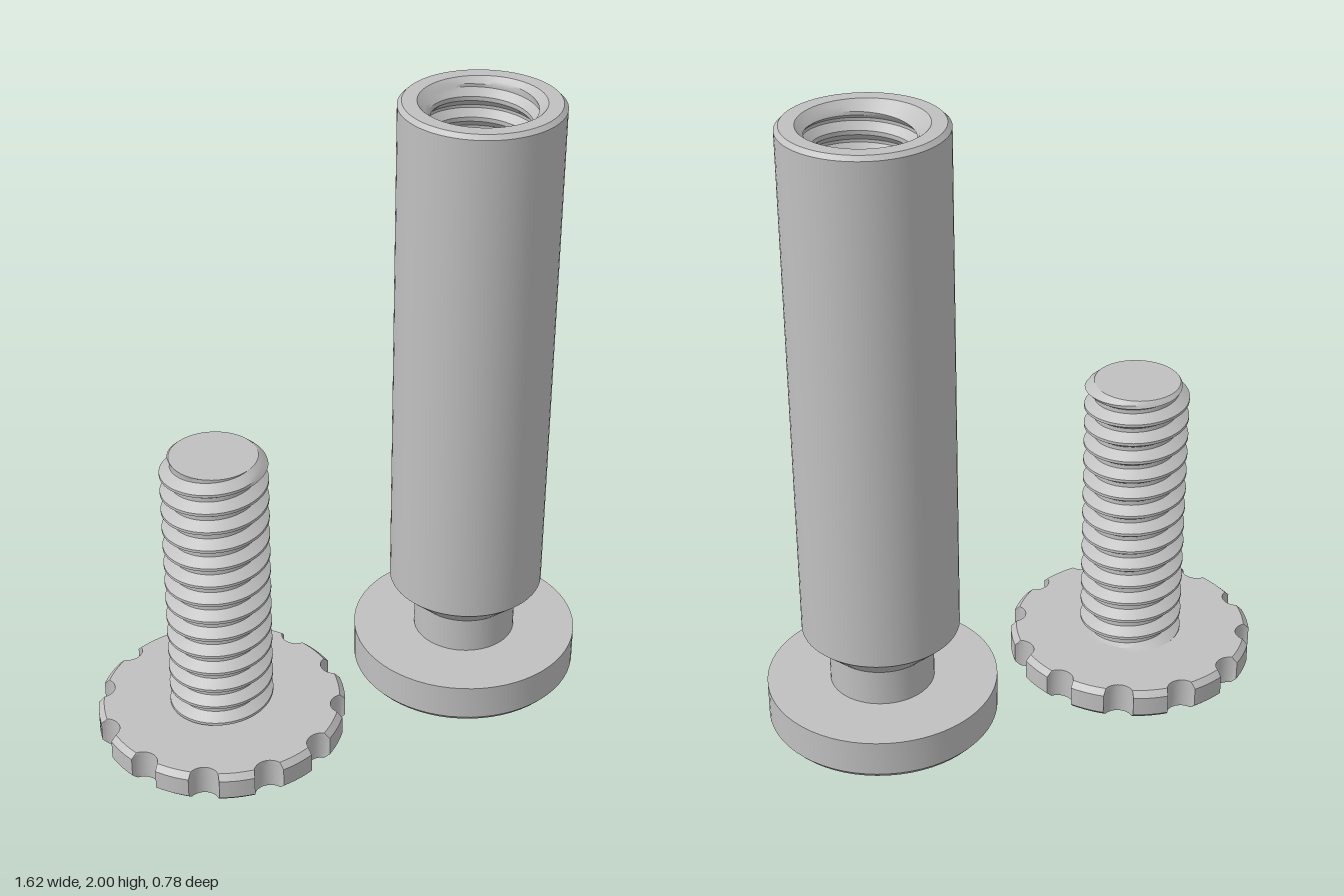
import * as THREE from 'three';
import { toCreasedNormals } from 'three/addons/utils/BufferGeometryUtils.js';

const TAU = Math.PI * 2;
const steel = new THREE.MeshStandardMaterial({ color: 0xc0c0c0 });
steel.name = 'steel grey';

function addMesh(group, name, geometry) {
  const mesh = new THREE.Mesh(geometry, steel);
  mesh.name = name;
  group.add(mesh);
}

// Skin rings of [x, y, z] points; counter-clockwise rings from bottom to top face outward
function skin(rings) {
  const n = rings[0].length, index = [];
  for (let r = 0; r < rings.length - 1; r++) {
    for (let i = 0; i < n - 1; i++) {
      const a = r * n + i, b = a + n;
      index.push(a, a + 1, b + 1, a, b + 1, b);
    }
  }
  const g = new THREE.BufferGeometry();
  g.setAttribute('position', new THREE.Float32BufferAttribute(rings.flat(2), 3));
  g.setIndex(index);
  return toCreasedNormals(g, 0.55);
}

// Place a 2D outline at height y and close it
const ringAt = (pts, y) => [...pts, pts[0]].map(p => [p.x, y, -p.y]);

// Flat face from an outline, facing up or down
function cap(outline, y, up, hole) {
  const shape = new THREE.Shape(outline);
  if (hole) shape.holes.push(new THREE.Path(hole));
  return new THREE.ShapeGeometry(shape).rotateX(up ? -Math.PI / 2 : Math.PI / 2).translate(0, y, 0);
}

function disc(radius, y) {
  return new THREE.CircleGeometry(radius, 64).rotateX(-Math.PI / 2).translate(0, y, 0);
}

// Right-hand helical thread from y0 to y1; limit(radius, y) trims the ends
function threadRings(y0, y1, root, crest, limit) {
  const pitch = 0.066, segments = 64, rings = [];
  const profile = [[0, 0], [0.2, 0], [0.365, 0.5], [0.53, 1], [0.67, 1], [0.835, 0.5]];
  const turns = Math.ceil((y1 - y0) / pitch) + 1;
  for (let t = -1; t < turns; t++) {
    for (const [f, h] of profile) {
      const ring = [];
      for (let i = 0; i <= segments; i++) {
        const a = (i / segments) * TAU;
        const y = Math.min(y1, Math.max(y0, y0 + (t + f + i / segments) * pitch));
        const r = limit(root + (crest - root) * h, y);
        ring.push([r * Math.cos(a), y, -r * Math.sin(a)]);
      }
      rings.push(ring);
    }
  }
  return rings;
}

// Disc outline of radius R with twelve round grip notches
function notchedOutline(R) {
  const centre = 0.397, rn = 0.048, count = 12, pts = [];
  const beta = Math.acos((R * R + centre * centre - rn * rn) / (2 * R * centre));
  const psi = Math.atan2(R * Math.sin(beta), R * Math.cos(beta) - centre);
  for (let k = 0; k < count; k++) {
    const base = (k / count) * TAU, origin = new THREE.Vector2();
    for (let i = 0; i <= 12; i++) {
      const a = TAU - psi - (i / 12) * (TAU - 2 * psi);
      pts.push(new THREE.Vector2(centre + rn * Math.cos(a), rn * Math.sin(a)).rotateAround(origin, base));
    }
    for (let i = 1; i < 6; i++) {
      const a = base + beta + (i / 6) * (TAU / count - 2 * beta);
      pts.push(new THREE.Vector2(R * Math.cos(a), R * Math.sin(a)));
    }
  }
  return pts;
}

// Cross outline with arm length L and half width w
function crossOutline(L, w) {
  const pts = [];
  for (let k = 0; k < 4; k++) {
    for (const [x, y] of [[L, -w], [L, w], [w, w]]) {
      pts.push(new THREE.Vector2(x, y).rotateAround(new THREE.Vector2(), k * Math.PI / 2));
    }
  }
  return pts;
}

function makeScrew() {
  const screw = new THREE.Group();
  screw.name = 'thumbScrew';
  // Notched head with chamfered rim
  const inner = notchedOutline(0.377), outer = notchedOutline(0.395);
  const mouth = crossOutline(0.11, 0.03), floor = crossOutline(0.05, 0.018);
  addMesh(screw, 'headRim', skin([ringAt(inner, 0), ringAt(outer, 0.018), ringAt(outer, 0.082), ringAt(inner, 0.1)]));
  addMesh(screw, 'headTop', cap(inner, 0.1, true));
  addMesh(screw, 'headUnderside', cap(inner, 0, false, mouth));
  // Tapered cross recess
  addMesh(screw, 'driveRecessWalls', skin([ringAt(floor, 0.095), ringAt(mouth, 0)]));
  addMesh(screw, 'driveRecessFloor', cap(floor, 0.095, false));
  // Threaded shank with chamfered tip
  const top = 1.015;
  addMesh(screw, 'shankThread', skin(threadRings(0.1, top, 0.133, 0.165,
    (r, y) => Math.min(r, 0.135 + (top - y) * 1.1))));
  addMesh(screw, 'shankTip', disc(0.135, top));
  return screw;
}

function makeBarrel() {
  const barrel = new THREE.Group();
  barrel.name = 'threadedBarrel';
  // Flange, neck, cone and sleeve turned as one body
  const profile = [[0, 0], [0.35, 0], [0.365, 0.018], [0.365, 0.135], [0.165, 0.135], [0.165, 0.255],
    [0.248, 0.335], [0.248, 1.987], [0.235, 2], [0.19, 2]].map(([x, y]) => new THREE.Vector2(x, y));
  addMesh(barrel, 'barrelBody', toCreasedNormals(new THREE.LatheGeometry(profile, 64), 0.4));
  // Threaded bore with countersunk mouth, faces turned inward
  const bore = threadRings(1, 2, 0.15, 0.172, (r, y) => Math.max(r, 0.19 - (2 - y)));
  addMesh(barrel, 'boreThread', skin(bore.reverse()));
  addMesh(barrel, 'boreFloor', disc(0.173, 1.001));
  return barrel;
}

export function createModel() {
  const model = new THREE.Group();
  model.name = 'screwAndBarrel';
  const screw = makeScrew(), barrel = makeBarrel();
  screw.position.x = -0.42;
  barrel.position.x = 0.447;
  model.add(screw, barrel);
  return model;
}
